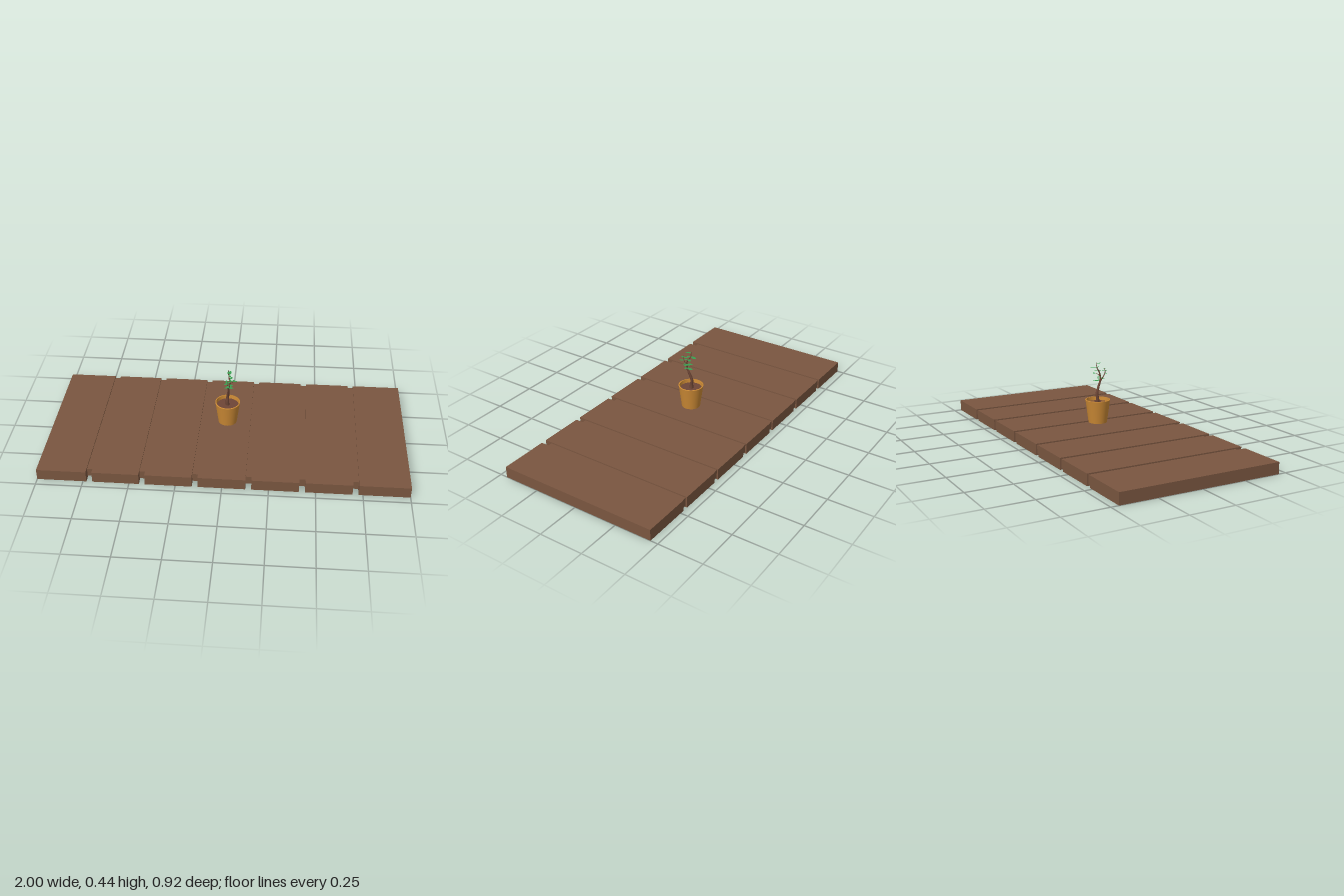
import * as THREE from 'three';

const wood = new THREE.MeshStandardMaterial({ color: 0x7a5640 });
const clay = new THREE.MeshStandardMaterial({ color: 0xcc8a35, side: THREE.DoubleSide });
const bark = new THREE.MeshStandardMaterial({ color: 0x6e4636 });
const green = new THREE.MeshStandardMaterial({ color: 0x3aa050, side: THREE.DoubleSide });

function add(parent, name, geometry, material, x = 0, y = 0, z = 0) {
  const mesh = new THREE.Mesh(geometry, material);
  mesh.name = name;
  mesh.position.set(x, y, z);
  parent.add(mesh);
  return mesh;
}

// Tube along a curve whose radius shrinks from r0 to r1
function taperedTube(points, r0, r1, segments = 24, sides = 8) {
  const curve = new THREE.CatmullRomCurve3(points.map(p => new THREE.Vector3(...p)));
  const geo = new THREE.TubeGeometry(curve, segments, r0, sides);
  const pos = geo.attributes.position;
  const v = new THREE.Vector3();
  for (let i = 0; i <= segments; i++) {
    const center = curve.getPointAt(i / segments);
    const k = 1 + (r1 / r0 - 1) * Math.pow(i / segments, 0.7);
    for (let j = 0; j <= sides; j++) {
      const n = i * (sides + 1) + j;
      v.fromBufferAttribute(pos, n).sub(center).multiplyScalar(k).add(center);
      pos.setXYZ(n, v.x, v.y, v.z);
    }
  }
  return geo;
}

// Flat pointed leaf lying level, one unit long along +z from its stalk
function leafGeometry() {
  const s = new THREE.Shape();
  s.moveTo(0, 0);
  s.bezierCurveTo(0.32, -0.2, 0.36, -0.6, 0, -1);
  s.bezierCurveTo(-0.36, -0.6, -0.32, -0.2, 0, 0);
  return new THREE.ShapeGeometry(s, 5).rotateX(-Math.PI / 2);
}

export function createModel() {
  const model = new THREE.Group();

  // Seven planks, with a recessed strip closing each gap
  const deck = new THREE.Group();
  deck.name = 'deck';
  model.add(deck);
  const edges = [-1, -0.715, -0.43, -0.145, 0.142, 0.427, 0.711, 1];
  const gap = 0.016;
  for (let i = 0; i < 7; i++) {
    const x0 = edges[i] + (i > 0 ? gap : 0);
    const x1 = edges[i + 1] - (i < 6 ? gap : 0);
    add(deck, 'plank', new THREE.BoxGeometry(x1 - x0, 0.063, 0.916), wood, (x0 + x1) / 2, 0.0315, 0);
    if (i > 0) add(deck, 'gapStrip', new THREE.BoxGeometry(gap * 2, 0.047, 0.87), wood, edges[i], 0.0325, -0.015);
  }

  // Hollow tapered pot with soil
  const plant = new THREE.Group();
  plant.name = 'pottedPlant';
  plant.position.set(-0.003, 0, -0.014);
  model.add(plant);
  const profile = [[0, 0.098], [0.052, 0.098], [0.052, 0.098], [0.069, 0.225], [0.07, 0.228],
    [0.064, 0.228], [0.064, 0.228], [0.061, 0.2]].map(p => new THREE.Vector2(...p));
  add(plant, 'pot', new THREE.LatheGeometry(profile, 40), clay);
  add(plant, 'soil', new THREE.CircleGeometry(0.062, 40).rotateX(-Math.PI / 2), bark, 0, 0.208, 0);

  // Winding trunk and side branches
  add(plant, 'trunk', taperedTube([[0, 0.2, -0.003], [-0.002, 0.23, -0.002], [0, 0.262, -0.005], [0.005, 0.3, 0.008],
    [0.008, 0.335, 0.021], [0.012, 0.375, 0.018], [0.006, 0.408, -0.002], [0.004, 0.437, -0.004]], 0.012, 0.002, 40), bark);
  add(plant, 'branch', taperedTube([[0.007, 0.328, 0.02], [0.003, 0.35, 0.034], [0.002, 0.373, 0.047],
    [0.002, 0.4, 0.047]], 0.004, 0.0012, 16, 6), bark);
  add(plant, 'twig', taperedTube([[0.01, 0.355, 0.02], [0.022, 0.366, 0.012], [0.032, 0.37, 0.006]],
    0.003, 0.001, 8, 6), bark);

  // Leaves: stalk x, y, z, heading in degrees, length
  const leaf = leafGeometry();
  const leaves = [
    [0.004, 0.431, -0.004, 20, 0.032], [0.004, 0.408, -0.004, 165, 0.042], [0.005, 0.409, 0, 40, 0.024],
    [0.002, 0.388, 0.047, 200, 0.028], [0.002, 0.385, 0.047, -50, 0.024], [0.002, 0.37, 0.046, 20, 0.025],
    [0.002, 0.395, 0.047, 70, 0.02], [0.011, 0.389, 0.012, 150, 0.03], [0.011, 0.387, 0.012, 30, 0.024],
    [0.032, 0.37, 0.006, 110, 0.022], [0.028, 0.369, 0.008, 160, 0.026], [0.01, 0.355, 0.02, 215, 0.034],
    [0.009, 0.344, 0.022, -60, 0.028], [0.008, 0.345, 0.022, 25, 0.02], [0.008, 0.333, 0.02, 170, 0.042],
    [0.009, 0.337, 0.021, 95, 0.028], [0.01, 0.36, 0.02, 60, 0.026],
  ];
  for (const [x, y, z, heading, length] of leaves) {
    const mesh = add(plant, 'leaf', leaf, green, x, y, z);
    mesh.scale.set(length, 1, length);
    mesh.rotation.y = THREE.MathUtils.degToRad(heading);
  }
  return model;
}
